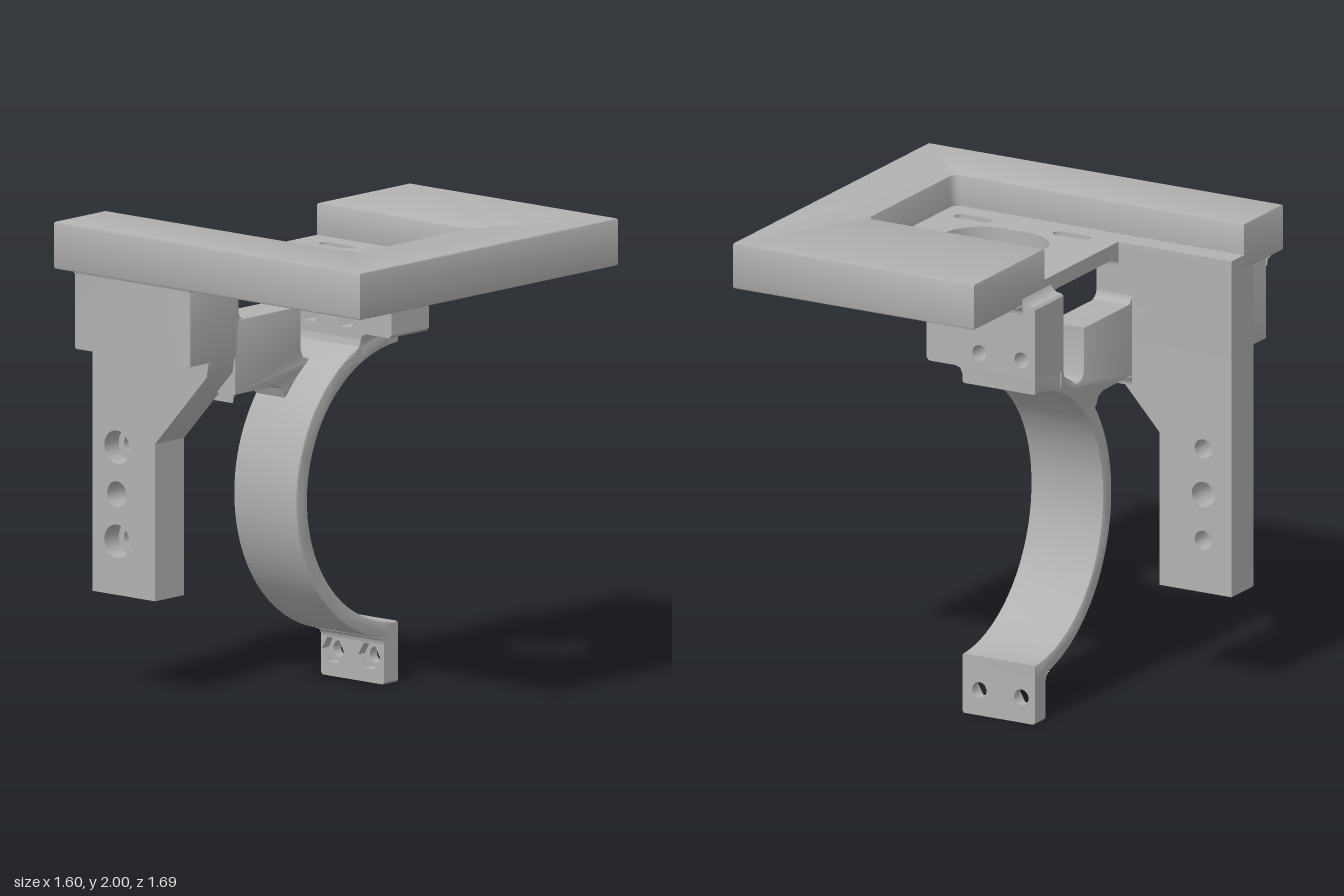
import * as THREE from 'three';
import { toCreasedNormals } from 'three/addons/utils/BufferGeometryUtils.js';

const metal = new THREE.MeshStandardMaterial({ color: 0xb2b2b2 });
metal.name = 'matte grey';

// Shape helpers
const poly = (pts) => new THREE.Shape(pts.map(([a, b]) => new THREE.Vector2(a, b)));
const circle = (a, b, r, sides = 32) => {
  const pts = [];
  for (let i = 0; i < sides; i++) {
    const t = (i / sides) * Math.PI * 2;
    pts.push([a + r * Math.cos(t), b + r * Math.sin(t)]);
  }
  return poly(pts);
};
const slot = (a, b, r, half) => { // stadium, long along the second axis
  const s = new THREE.Shape();
  s.absarc(a, b + half - r, r, 0, Math.PI, false);
  s.absarc(a, b - half + r, r, Math.PI, Math.PI * 2, false);
  s.closePath();
  return s;
};

// Solid of the given depth, lightly chamfered by b
function solid(shape, depth, b, holes = []) {
  shape.holes.push(...holes);
  const g = new THREE.ExtrudeGeometry(shape, {
    depth: depth - 2 * b, curveSegments: 40, bevelEnabled: b > 0,
    bevelSize: b, bevelThickness: b, bevelOffset: -b, bevelSegments: 2,
  });
  g.translate(0, 0, b);
  return toCreasedNormals(g, 0.6);
}
// Shape in (x, y), from z0 to z1
const alongZ = (s, z0, z1, b = 0, holes) => solid(s, z1 - z0, b, holes).translate(0, 0, z0);
// Shape in (z, y), from x0 to x1
const alongX = (s, x0, x1, b = 0, holes) => solid(s, x1 - x0, b, holes).rotateY(-Math.PI / 2).translate(x1, 0, 0);
// Shape in (x, z), from y0 to y1
const alongY = (s, y0, y1, b = 0, holes) => solid(s, y1 - y0, b, holes).rotateX(Math.PI / 2).translate(0, y1, 0);

// Concave corner fillet: corner (a, b), growing in directions sa, sb
function fillet(a, b, sa, sb, r) {
  const pts = [[a, b]];
  for (let i = 0; i <= 8; i++) {
    const t = (i / 8) * Math.PI / 2;
    pts.push([a + sa * r * (1 - Math.sin(t)), b + sb * r * (1 - Math.cos(t))]);
  }
  return poly(pts);
}

export function createModel() {
  const group = new THREE.Group();
  const add = (name, geometry) => {
    const m = new THREE.Mesh(geometry, metal);
    m.name = name;
    group.add(m);
  };

  // U-shaped top plate
  const r = 0.04;
  const u = new THREE.Shape();
  u.moveTo(-0.8, -0.845);
  u.lineTo(-0.48, -0.845);
  u.lineTo(-0.48, 0.535 - r);
  u.quadraticCurveTo(-0.48, 0.535, -0.48 + r, 0.535);
  u.lineTo(0.225 - r, 0.535);
  u.quadraticCurveTo(0.225, 0.535, 0.225, 0.535 - r);
  u.lineTo(0.225, -0.305);
  u.lineTo(0.8, -0.305);
  u.lineTo(0.8, 0.845);
  u.lineTo(-0.8, 0.845);
  u.closePath();
  add('topPlate', alongY(u, 1.8, 2, 0.01));

  // Thin recessed floor with a rear ledge, centre opening and four slots
  const openings = [slot(-0.125, 0.14, 0.177, 0.235)];
  for (const x of [-0.36, 0.11]) for (const z of [-0.095, 0.375]) openings.push(slot(x, z, 0.027, 0.087));
  add('recessFloor', alongY(poly([
    [-0.5, -0.845], [-0.38, -0.845], [-0.38, -0.305], [0.245, -0.305], [0.245, 0.555], [-0.5, 0.555],
  ]), 1.8, 1.865, 0, openings));

  // Block under the left arm of the plate
  add('legBlock', alongZ(poly([[-0.68, 1.45], [-0.38, 1.45], [-0.38, 1.84], [-0.68, 1.84]]), -0.84, -0.2, 0.012));
  add('legBlockFillet', alongZ(fillet(-0.68, 1.8, -1, -1, 0.035), -0.84, -0.2));
  add('legBlockFillet', alongZ(fillet(-0.38, 1.8, 1, -1, 0.04), -0.305, -0.2));
  add('legBlockFillet', alongX(fillet(-0.2, 1.8, 1, -1, 0.035), -0.68, -0.38));

  // Hanging leg in two layers, so that the outer holes are counterbored
  const legOutline = () => poly([
    [-0.845, 0.415], [-0.5, 0.415], [-0.5, 1.075], [-0.215, 1.39], [-0.2, 1.48], [-0.2, 1.85], [-0.845, 1.85],
  ]);
  const legHoles = (big) => [[1.035, big], [0.838, 0.054], [0.64, big]].map(([y, rad]) => circle(-0.71, y, rad));
  add('legOuterHalf', alongX(legOutline(), -0.56, -0.47, 0, legHoles(0.07)));
  add('legInnerHalf', alongX(legOutline(), -0.47, -0.38, 0, legHoles(0.041)));

  // Cross bracket joining leg and clamp
  add('crossBracket', alongZ(poly([
    [-0.4, 1.295], [-0.15, 1.295], [-0.11, 1.28], [-0.09, 1.24], [-0.03, 1.25], [0.1, 1.36], [0.2, 1.40],
    [0.2, 1.47], [0.165, 1.43], [0.12, 1.4], [0.06, 1.385], [0.025, 1.395], [0.01, 1.43], [0.01, 1.61], [-0.4, 1.61],
  ]), -0.37, -0.2, 0.008));
  add('bracketFillet', alongZ(fillet(-0.38, 1.61, 1, 1, 0.035), -0.37, -0.2));
  add('bracketFillet', alongZ(fillet(-0.38, 1.295, 1, -1, 0.04), -0.37, -0.23));

  // Half-ring clamp, cut off flat at x = 0.405
  const cx = 0.43, cy = 0.84, ro = 0.655, ri = 0.585;
  const ao = Math.acos(-0.025 / ro), ai = Math.acos(-0.025 / ri);
  const arc = new THREE.Shape();
  arc.absarc(cx, cy, ro, ao, Math.PI * 2 - ao, false);
  arc.absarc(cx, cy, ri, Math.PI * 2 - ai, ai, true);
  arc.closePath();
  add('clampRing', alongZ(arc, -0.365, -0.018, 0.008));

  // Clamp tabs in two layers: hexagonal nut pockets behind round bolt holes
  const pair = (y, rad, sides) => [-0.1, -0.3].map((z) => circle(z, y, rad, sides));
  const upper = () => poly([
    [-0.365, 1.43], [-0.018, 1.43], [-0.018, 1.465], [-0.008, 1.487], [0.015, 1.495], [0.14, 1.495],
    [0.152, 1.507], [0.152, 1.84], [-0.3, 1.84], [-0.31, 1.82], [-0.33, 1.803], [-0.355, 1.8], [-0.365, 1.79],
  ]);
  add('upperTabRear', alongX(upper(), 0.172, 0.29, 0, pair(1.565, 0.06, 6)));
  add('upperTabFront', alongX(upper(), 0.29, 0.405, 0, pair(1.565, 0.034)));
  add('upperTabFillet', alongZ(fillet(0.172, 1.8, -1, -1, 0.035), -0.305, 0.152));
  add('upperTabFillet', alongZ(fillet(0.405, 1.8, 1, -1, 0.04), -0.305, 0.152));
  add('upperTabFillet', alongX(fillet(0.152, 1.8, 1, -1, 0.045), 0.172, 0.405));
  add('upperTabFillet', alongZ(poly([[0.18, 1.5], [0.165, 1.44], [0.12, 1.405], [0.06, 1.38], [0.18, 1.38]]), -0.365, -0.018));

  const lower = () => poly([
    [-0.357, 0], [-0.026, 0], [-0.018, 0.01], [-0.018, 0.25], [-0.365, 0.25], [-0.365, 0.01],
  ]);
  add('lowerTabRear', alongX(lower(), 0.318, 0.36, 0, pair(0.11, 0.06, 6)));
  add('lowerTabFront', alongX(lower(), 0.36, 0.405, 0, pair(0.11, 0.034)));
  add('lowerTabFillet', alongZ(fillet(0.318, 0.2, -1, -1, 0.035), -0.365, -0.018));

  return group;
}
